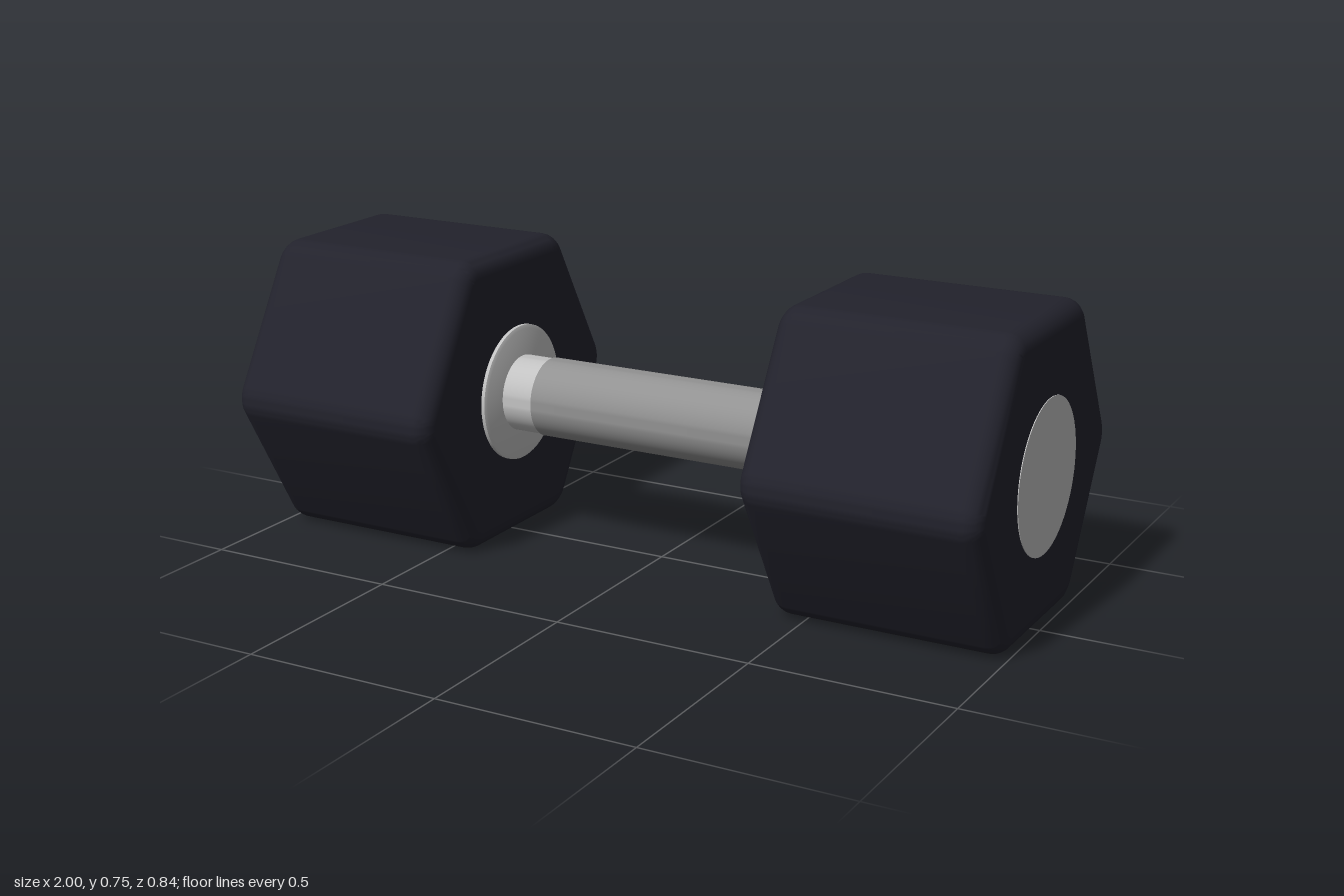
import * as THREE from 'three';
import { toCreasedNormals } from 'three/addons/utils/BufferGeometryUtils.js';

const AXIS_Y = 0.374;      // height of the bar axis, equal to the hexagon's apothem
const INNER = 0.417, OUTER = 0.998; // head extent along x
const BEVEL = 0.045;

const rubber = new THREE.MeshStandardMaterial({ name: 'darkRubber', color: 0x22222c });
const steel = new THREE.MeshStandardMaterial({ name: 'lightSteel', color: 0xc2c2c2 });
const gripSteel = new THREE.MeshStandardMaterial({ name: 'gripSteel', color: 0x929292 });

// Hexagon with points at +-x and rounded corners
function roundedHexagon(apothem, radius) {
  const shape = new THREE.Shape();
  const centreDistance = (apothem - radius) / Math.cos(Math.PI / 6);
  for (let i = 0; i < 6; i++) {
    const a = i * Math.PI / 3;
    shape.absarc(centreDistance * Math.cos(a), centreDistance * Math.sin(a), radius,
      a - Math.PI / 6, a + Math.PI / 6, false);
  }
  return shape;
}

// Solid of revolution around x from [x, radius] points, listed by increasing x
function turned(profile, segments = 64) {
  const points = profile.map(([x, r]) => new THREE.Vector2(r, x));
  const geometry = new THREE.LatheGeometry(points, segments).rotateZ(-Math.PI / 2);
  return toCreasedNormals(geometry, 0.5);
}

function add(parent, name, geometry, material) {
  const mesh = new THREE.Mesh(geometry, material);
  mesh.name = name;
  parent.add(mesh);
}

export function createModel() {
  const model = new THREE.Group();
  model.name = 'dumbbell';

  const headBlock = toCreasedNormals(
    new THREE.ExtrudeGeometry(roundedHexagon(AXIS_Y - BEVEL, 0.035), {
      depth: OUTER - INNER - 2 * BEVEL,
      bevelThickness: BEVEL, bevelSize: BEVEL, bevelSegments: 6, curveSegments: 6,
    }).rotateY(Math.PI / 2).translate(INNER + BEVEL, 0, 0), 0.6);

  const collar = turned([[0.404, 0], [0.404, 0.165], [0.408, 0.174], [0.425, 0.174], [0.425, 0]]);
  const endCap = turned([[0.994, 0], [0.994, 0.187], [1, 0.187], [1, 0]]);

  // Weight heads, the second turned half way round
  for (const side of ['left', 'right']) {
    const head = new THREE.Group();
    head.name = side + 'Head';
    add(head, 'hexWeight', headBlock, rubber);
    add(head, 'collar', collar, steel);
    add(head, 'endCap', endCap, steel);
    head.position.y = AXIS_Y;
    if (side === 'right') head.rotation.y = Math.PI;
    model.add(head);
  }

  // Bar with the darker grip sleeve
  const handle = new THREE.Group();
  handle.name = 'handle';
  handle.position.y = AXIS_Y;
  add(handle, 'bar', turned([[-0.41, 0], [-0.41, 0.097], [0.41, 0.097], [0.41, 0]]), steel);
  add(handle, 'grip', turned([[-0.32, 0.096], [-0.32, 0.1], [0.32, 0.1], [0.32, 0.096]]), gripSteel);
  model.add(handle);

  return model;
}
